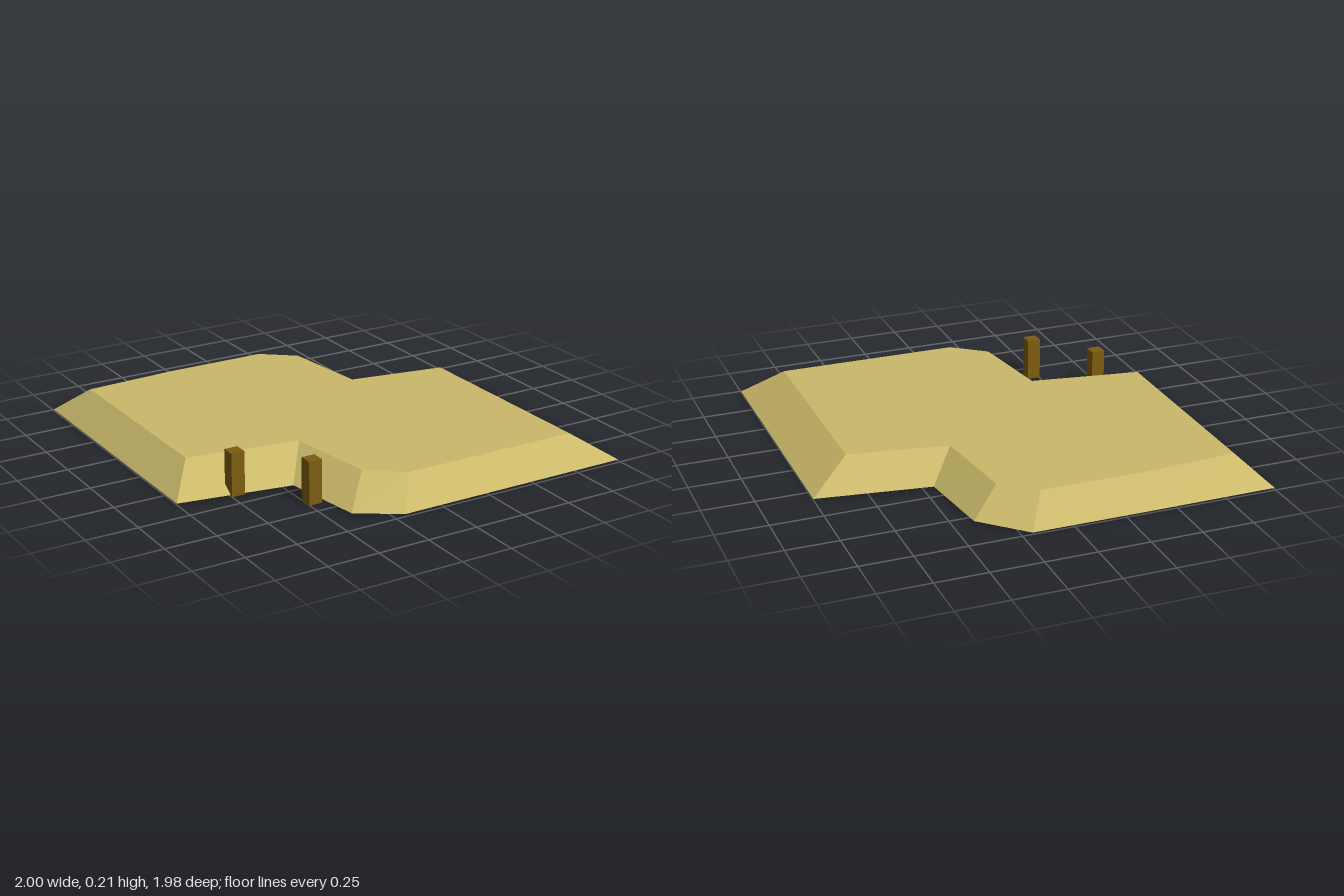
import * as THREE from 'three';

export function createModel() {
  const model = new THREE.Group();
  const sand = new THREE.MeshStandardMaterial({ color: 0xcab96a, side: THREE.DoubleSide, flatShading: true });
  sand.name = 'sand';
  const wood = new THREE.MeshStandardMaterial({ color: 0x7d5c10 });
  wood.name = 'wood';

  // Outlines as [x, z], running clockwise seen from above
  const baseY = 0.006, topY = 0.137;
  const base = [[-1, -0.99], [-0.37, -0.995], [0.2, -0.995], [0.4, -0.8], [0.45, -0.412], [1, -0.333],
    [1, 0.985], [-0.195, 0.988], [-0.392, 0.86], [-0.455, 0.46], [-1, 0.37]];
  const top = [[-0.865, -0.835], [-0.4, -0.865], [0.11, -0.865], [0.27, -0.735], [0.322, -0.283], [0.802, -0.203],
    [0.802, 0.86], [-0.095, 0.86], [-0.26, 0.73], [-0.323, 0.287], [-0.865, 0.2]];

  // Flat top of the mound
  const shape = new THREE.Shape(top.map(([x, z]) => new THREE.Vector2(x, -z)));
  const plateau = new THREE.Mesh(new THREE.ShapeGeometry(shape).rotateX(-Math.PI / 2), sand);
  plateau.position.y = topY;
  plateau.name = 'plateau';
  model.add(plateau);

  // Sloping banks joining the two outlines; the underside stays open
  const positions = [];
  base.forEach(([x, z], i) => {
    const j = (i + 1) % base.length;
    const a = [x, baseY, z], b = [base[j][0], baseY, base[j][1]];
    const c = [top[i][0], topY, top[i][1]], d = [top[j][0], topY, top[j][1]];
    positions.push(...b, ...a, ...c, ...b, ...c, ...d);
  });
  const bankGeometry = new THREE.BufferGeometry();
  bankGeometry.setAttribute('position', new THREE.Float32BufferAttribute(positions, 3));
  bankGeometry.computeVertexNormals();
  const banks = new THREE.Mesh(bankGeometry, sand);
  banks.name = 'banks';
  model.add(banks);

  // Two square posts at the front inner corner
  const postGeometry = new THREE.BoxGeometry(0.066, 0.21, 0.066);
  [[-0.717, 0.39], [-0.47, 0.65]].forEach(([x, z], i) => {
    const post = new THREE.Mesh(postGeometry, wood);
    post.position.set(x, 0.105, z);
    post.name = i ? 'frontPost' : 'rearPost';
    model.add(post);
  });

  return model;
}
